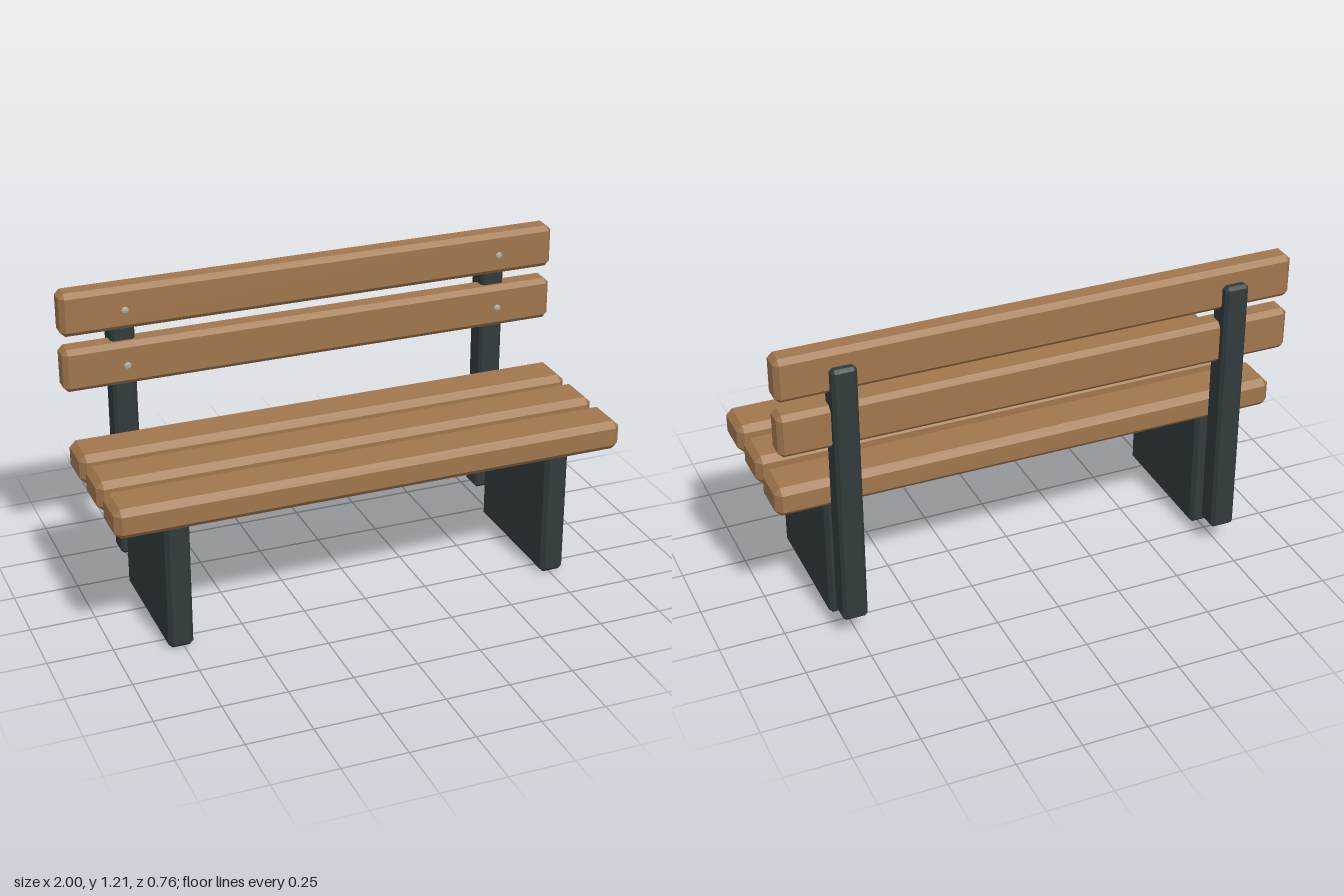
import * as THREE from 'three';
import { ConvexGeometry } from 'three/addons/geometries/ConvexGeometry.js';

const wood = new THREE.MeshStandardMaterial({ color: 0xa0764c, flatShading: true });
const iron = new THREE.MeshStandardMaterial({ color: 0x313a3c, flatShading: true });
const metal = new THREE.MeshStandardMaterial({ color: 0xa9aa9c, flatShading: true });

// Box with every edge and corner cut flat by c
function chamferedBox(w, h, d, c) {
  const half = [w / 2, h / 2, d / 2];
  const points = [];
  for (const sx of [-1, 1]) for (const sy of [-1, 1]) for (const sz of [-1, 1]) {
    for (let face = 0; face < 3; face++) {
      const [x, y, z] = half.map((v, axis) => (axis === face ? v : v - c));
      points.push(new THREE.Vector3(sx * x, sy * y, sz * z));
    }
  }
  return new ConvexGeometry(points);
}

export function createModel() {
  const bench = new THREE.Group();
  bench.name = 'bench';

  const add = (name, geometry, material, x, y, z) => {
    const mesh = new THREE.Mesh(geometry, material);
    mesh.name = name;
    mesh.position.set(x, y, z);
    bench.add(mesh);
  };

  // Three seat planks
  const seatPlank = chamferedBox(2, 0.118, 0.18, 0.024);
  [0.29, 0.06, -0.17].forEach((z, i) => add(`seatPlank${i + 1}`, seatPlank, wood, 0, 0.572, z));

  // Two backrest planks
  const backPlank = chamferedBox(2, 0.17, 0.095, 0.019);
  [0.901, 1.123].forEach((y, i) => add(`backPlank${i + 1}`, backPlank, wood, 0, y, -0.299));

  // Panel leg, upright post and bolts on each side
  const leg = chamferedBox(0.095, 0.58, 0.54, 0.015);
  const post = chamferedBox(0.095, 1.06, 0.097, 0.012);
  const bolt = new THREE.SphereGeometry(0.015, 8, 6).scale(1, 1, 0.5);
  for (const [side, x] of [['left', 0.76], ['right', -0.76]]) {
    add(`${side}Leg`, leg, iron, x, 0.29, 0.06);
    add(`${side}Post`, post, iron, x, 0.613, -0.33);
    add(`${side}LowerBolt`, bolt, metal, x, 0.901, -0.235);
    add(`${side}UpperBolt`, bolt, metal, x, 1.123, -0.235);
  }

  return bench;
}
